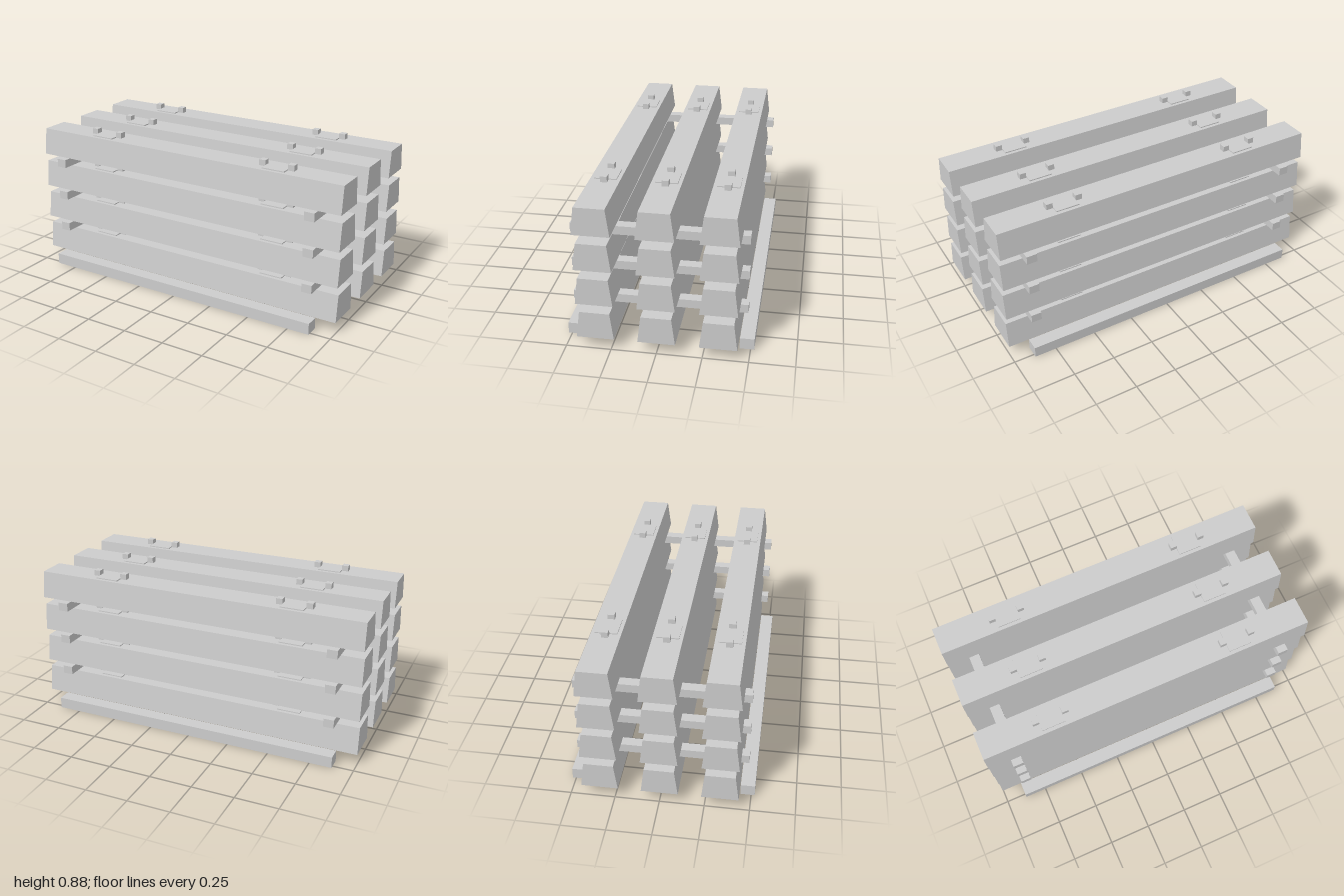
import * as THREE from 'three';

export function createModel() {
  const model = new THREE.Group();
  model.name = 'sleeperStack';
  const grey = new THREE.MeshStandardMaterial({ color: 0xcccccc });
  grey.name = 'concreteGrey';

  const add = (parent, name, geometry, x, y, z) => {
    const mesh = new THREE.Mesh(geometry, grey);
    mesh.name = name;
    mesh.position.set(x, y, z);
    parent.add(mesh);
  };

  const LAYERS = 4, PITCH = 0.2085, BASE = 0.066, HEIGHT = 0.159;
  const GAP = PITCH - HEIGHT;

  // Sleeper: trapezoid section swept along x
  const section = new THREE.Shape([
    new THREE.Vector2(-0.103, 0), new THREE.Vector2(0.103, 0),
    new THREE.Vector2(0.083, HEIGHT), new THREE.Vector2(-0.083, HEIGHT),
  ]);
  const beam = new THREE.ExtrudeGeometry(section, { depth: 2, bevelEnabled: false });
  beam.translate(0, 0, -1).rotateY(Math.PI / 2);

  const plate = new THREE.BoxGeometry(0.137, 0.006, 0.125);
  const peg = new THREE.BoxGeometry(0.038, 0.033, 0.038);
  const spacer = new THREE.BoxGeometry(0.06, GAP, 0.96);
  const rail = new THREE.BoxGeometry(1.76, BASE, 0.08);

  for (let layer = 0; layer < LAYERS; layer++) {
    const y = BASE + layer * PITCH;
    const top = y + HEIGHT;
    for (const z of [-0.335, 0, 0.335]) {
      const sleeper = new THREE.Group();
      sleeper.name = 'sleeper';
      model.add(sleeper);
      add(sleeper, 'beam', beam, 0, y, z);
      // Rail seats, each a thin plate between two pegs
      for (const side of [-1, 1]) {
        add(sleeper, 'seatPlate', plate, side * 0.575, top + 0.003, z);
        for (const x of [0.488, 0.663]) add(sleeper, 'peg', peg, side * x, top + 0.0165, z);
      }
    }
    // Spacer bars between layers
    if (layer < LAYERS - 1) {
      for (const side of [-1, 1]) add(model, 'spacer', spacer, side * 0.838, top + GAP / 2, 0);
    }
  }

  // Ground rails along the front and back
  for (const side of [-1, 1]) add(model, 'groundRail', rail, 0, BASE / 2, side * 0.48);

  return model;
}
